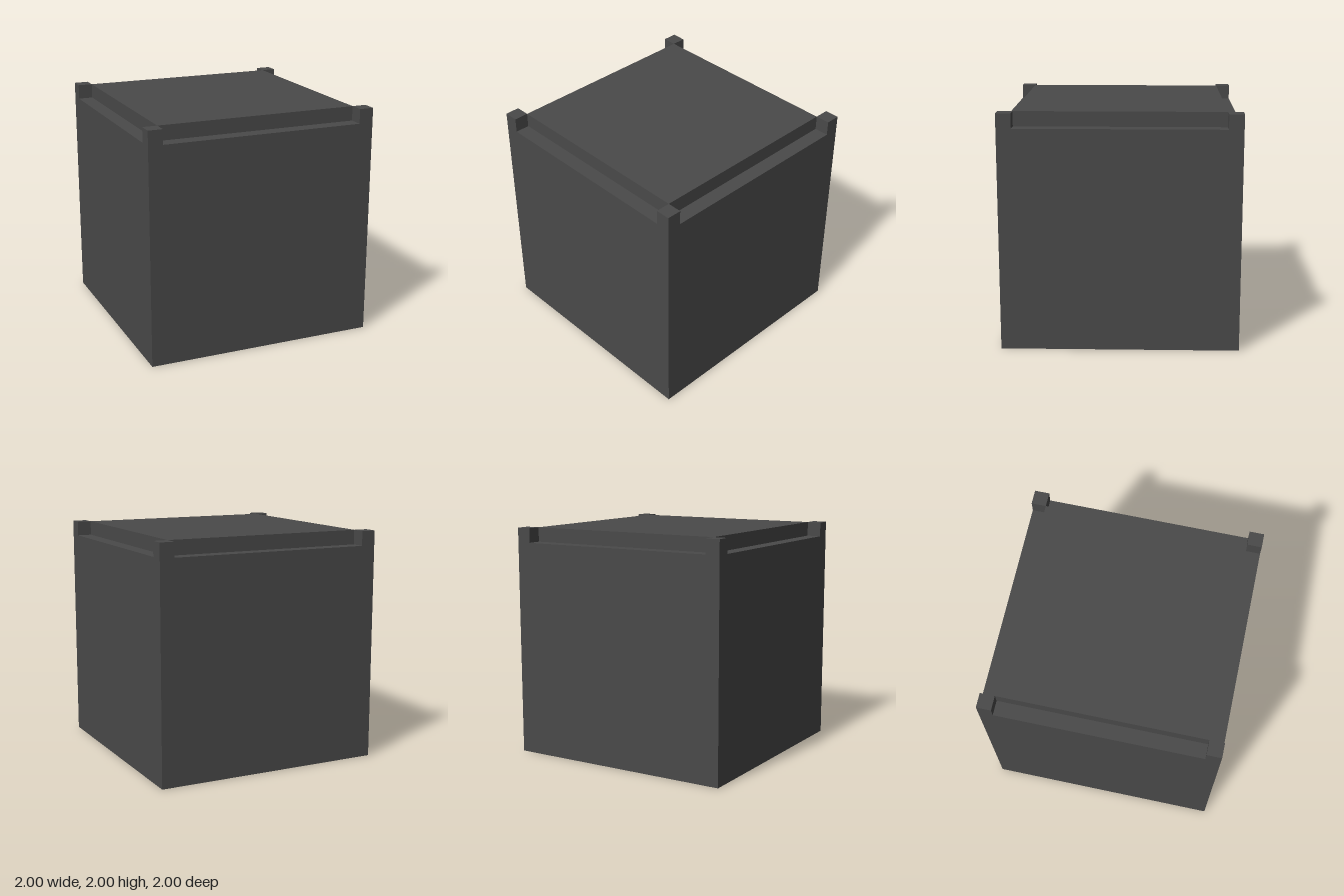
import * as THREE from 'three';

const SIZE = 2;      // overall cube edge
const STEP = 0.125;  // width and depth of the notch along each top edge

export function createModel() {
  const model = new THREE.Group();
  model.name = 'notchedCube';
  const darkGrey = new THREE.MeshStandardMaterial({ color: 0x4a4a4a });
  darkGrey.name = 'darkGrey';

  // Box standing on height y
  function addBox(name, width, height, depth, x, y, z) {
    const mesh = new THREE.Mesh(new THREE.BoxGeometry(width, height, depth), darkGrey);
    mesh.name = name;
    mesh.position.set(x, y + height / 2, z);
    model.add(mesh);
  }

  const ledgeY = SIZE - STEP;
  const inner = SIZE - 2 * STEP;

  // Main block up to the ledges, and the raised top inside them
  addBox('body', SIZE, ledgeY, SIZE, 0, 0, 0);
  addBox('raisedTop', inner, STEP, inner, 0, ledgeY, 0);

  // Small cubes at the four top corners, level with the raised top
  const corner = (SIZE - STEP) / 2;
  for (const [sideX, nameX] of [[1, 'Left'], [-1, 'Right']]) {
    for (const [sideZ, nameZ] of [[1, 'front'], [-1, 'back']]) {
      addBox(`${nameZ}${nameX}CornerPost`, STEP, STEP, STEP, sideX * corner, ledgeY, sideZ * corner);
    }
  }
  return model;
}
